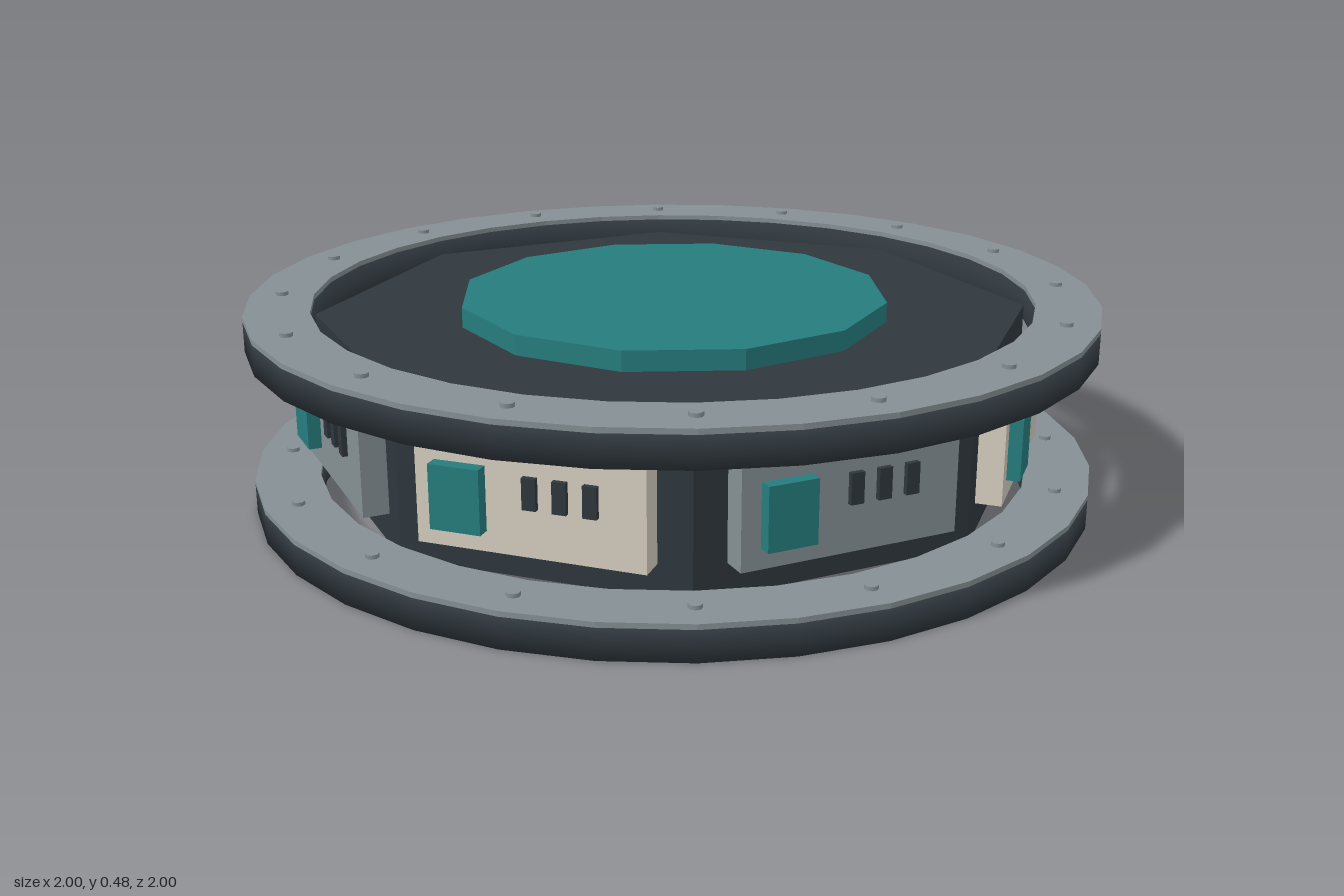
import * as THREE from 'three';

const mat = (name, color) => {
  const m = new THREE.MeshStandardMaterial({ color });
  m.name = name;
  return m;
};

export function createModel() {
  const dark = mat('dark metal', 0x2f373d);
  const grey = mat('grey metal', 0x859094);
  const beige = mat('beige panel', 0xd4cdbf);
  const teal = mat('teal glass', 0x267c7d);

  const model = new THREE.Group();
  model.name = 'stationModule';

  const add = (parent, name, geometry, material, x = 0, y = 0, z = 0) => {
    const mesh = new THREE.Mesh(geometry, material);
    mesh.name = name;
    mesh.position.set(x, y, z);
    parent.add(mesh);
    return mesh;
  };
  // Flat-sided drum spanning two heights
  const drum = (name, radius, y0, y1, sides, material) => {
    const g = new THREE.CylinderGeometry(radius, radius, y1 - y0, sides).toNonIndexed();
    g.computeVertexNormals();
    return add(model, name, g, material, 0, (y0 + y1) / 2, 0);
  };

  // Octagonal core with a twelve-sided plate above and below
  drum('core', 0.85, 0.055, 0.425, 8, dark);
  drum('topPlate', 0.51, 0.425, 0.472, 12, teal);
  drum('bottomPlate', 0.51, 0.04, 0.055, 12, teal);

  // Ring of rectangular section
  const ringGeometry = (inner, outer, y0, y1) => new THREE.LatheGeometry(
    [[inner, y0], [outer, y0], [outer, y1], [inner, y1], [inner, y0]]
      .map(([r, y]) => new THREE.Vector2(r, y)), 32);

  // Two rings, each with a grey cap and sixteen bolts
  const bolt = new THREE.CylinderGeometry(0.015, 0.015, 0.014, 8);
  const makeRing = (name, y) => {
    const ring = new THREE.Group();
    ring.name = name;
    ring.position.y = y;
    add(ring, 'ringBody', ringGeometry(0.85, 1, 0, 0.07), dark);
    const cap = ringGeometry(0.85, 1, 0.07, 0.082).toNonIndexed();
    cap.computeVertexNormals();
    add(ring, 'ringCap', cap, grey);
    for (let i = 0; i < 16; i++) {
      const a = (i * Math.PI) / 8;
      add(ring, 'bolt', bolt, grey, Math.sin(a) * 0.925, 0.084, Math.cos(a) * 0.925);
    }
    model.add(ring);
  };
  makeRing('lowerRing', 0);
  makeRing('upperRing', 0.392);

  // Side panels in alternating colours, each with a window and three slots
  const panelBox = new THREE.BoxGeometry(0.5, 0.23, 0.08);
  const windowBox = new THREE.BoxGeometry(0.112, 0.14, 0.04);
  const slotBox = new THREE.BoxGeometry(0.03, 0.068, 0.03);
  for (let i = 0; i < 8; i++) {
    const side = new THREE.Group();
    side.name = 'sidePanel';
    side.rotation.y = ((i + 0.5) * Math.PI) / 4;
    add(side, 'panel', panelBox, i % 2 ? grey : beige, 0, 0.243, 0.803);
    add(side, 'window', windowBox, teal, -0.15, 0.243, 0.853);
    for (const x of [0.005, 0.07, 0.135]) {
      add(side, 'slot', slotBox, dark, x, 0.268, 0.84);
    }
    model.add(side);
  }

  return model;
}
